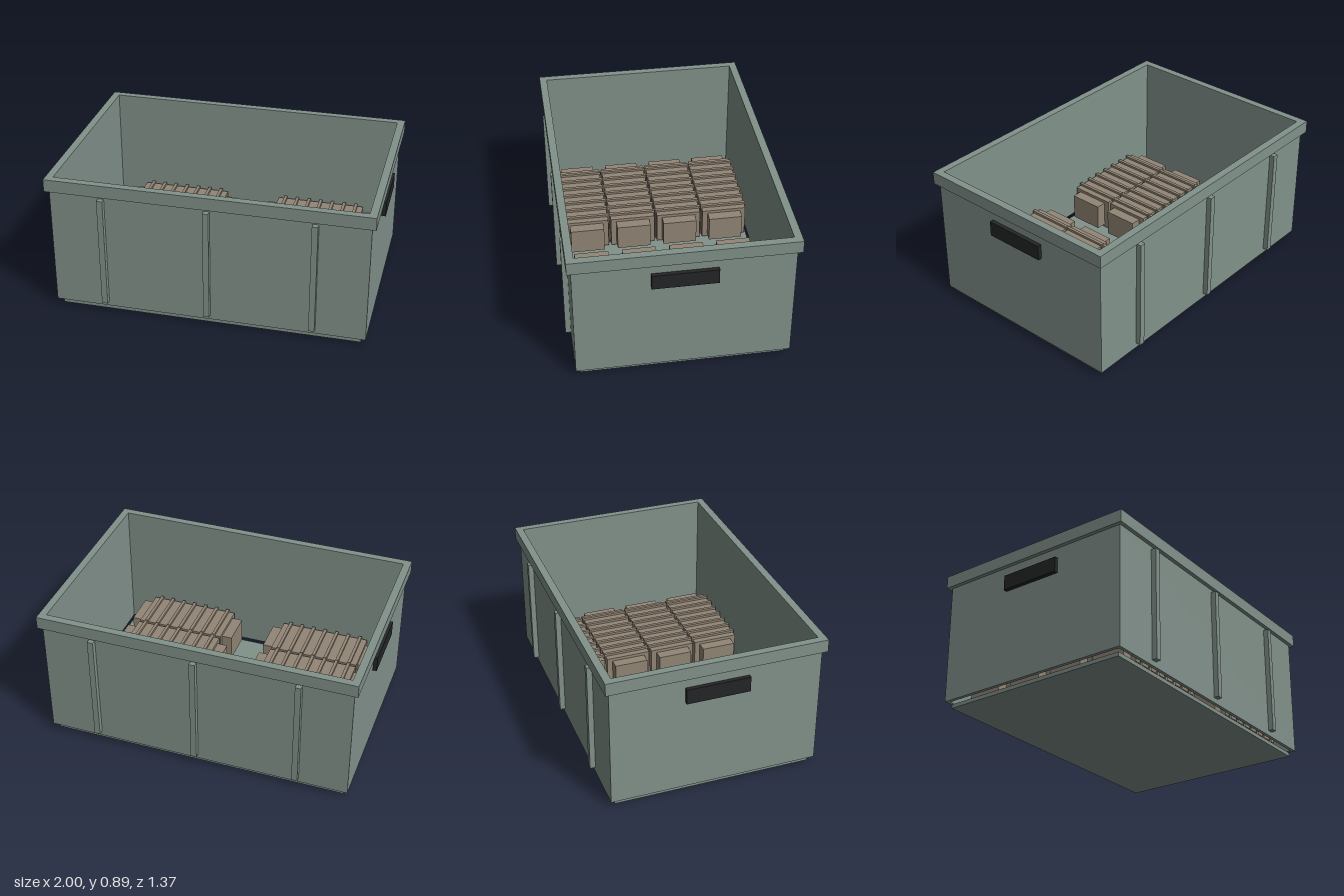
import * as THREE from 'three';

const green = new THREE.MeshStandardMaterial({ color: 0x82928b });
const tan = new THREE.MeshStandardMaterial({ color: 0x928675 });
const black = new THREE.MeshStandardMaterial({ color: 0x242526 });

// Box given by its size and centre
function box(parent, name, material, [w, h, d], [x, y, z]) {
  const mesh = new THREE.Mesh(new THREE.BoxGeometry(w, h, d), material);
  mesh.name = name;
  mesh.position.set(x, y, z);
  parent.add(mesh);
}

// Rectangular frame, open above and below
function frame(parent, name, halfX, halfZ, innerX, innerZ, y0, y1) {
  const rect = (Type, a, b) => new Type([[-a, -b], [a, -b], [a, b], [-a, b]].map(p => new THREE.Vector2(...p)));
  const shape = rect(THREE.Shape, halfX, halfZ);
  shape.holes.push(rect(THREE.Path, innerX, innerZ));
  const geometry = new THREE.ExtrudeGeometry(shape, { depth: y1 - y0, bevelEnabled: false });
  geometry.rotateX(-Math.PI / 2).translate(0, y0, 0);
  const mesh = new THREE.Mesh(geometry, green);
  mesh.name = name;
  parent.add(mesh);
}

// Ribbed block with a narrower tab at each end
function ribbedBlock(x, z) {
  const block = new THREE.Group();
  block.name = 'ribbedBlock';
  box(block, 'blockBody', tan, [0.585, 0.21, 0.29], [0, 0.145, 0]);
  for (const side of [-1, 1]) {
    box(block, 'endTab', tan, [0.07, 0.17, 0.22], [side * 0.325, 0.145, 0]);
  }
  for (let i = -3; i <= 3; i++) {
    box(block, 'blockRib', tan, [0.02, 0.235, 0.304], [i * 0.081, 0.1475, 0]);
  }
  block.position.set(x, 0, z);
  return block;
}

export function createModel() {
  const crate = new THREE.Group();
  crate.name = 'crate';

  // Floor, walls and top rim
  box(crate, 'floor', green, [1.89, 0.025, 1.24], [0, 0.0125, 0]);
  frame(crate, 'walls', 0.975, 0.65, 0.953, 0.628, 0.04, 0.81);
  frame(crate, 'rim', 1, 0.675, 0.953, 0.628, 0.81, 0.89);

  // Upright ribs on the long walls, hand grips on the short ones
  for (const side of [-1, 1]) {
    for (const x of [-0.65, 0, 0.65]) {
      box(crate, 'wallRib', green, [0.037, 0.717, 0.033], [x, 0.432, side * 0.6665]);
    }
    box(crate, 'handGrip', black, [0.025, 0.097, 0.392], [side * 0.9875, 0.693, 0]);
  }

  // Two columns of four blocks on the floor
  for (const x of [-0.473, 0.473]) {
    for (let row = 0; row < 4; row++) crate.add(ribbedBlock(x, (row - 1.5) * 0.308));
  }
  return crate;
}
